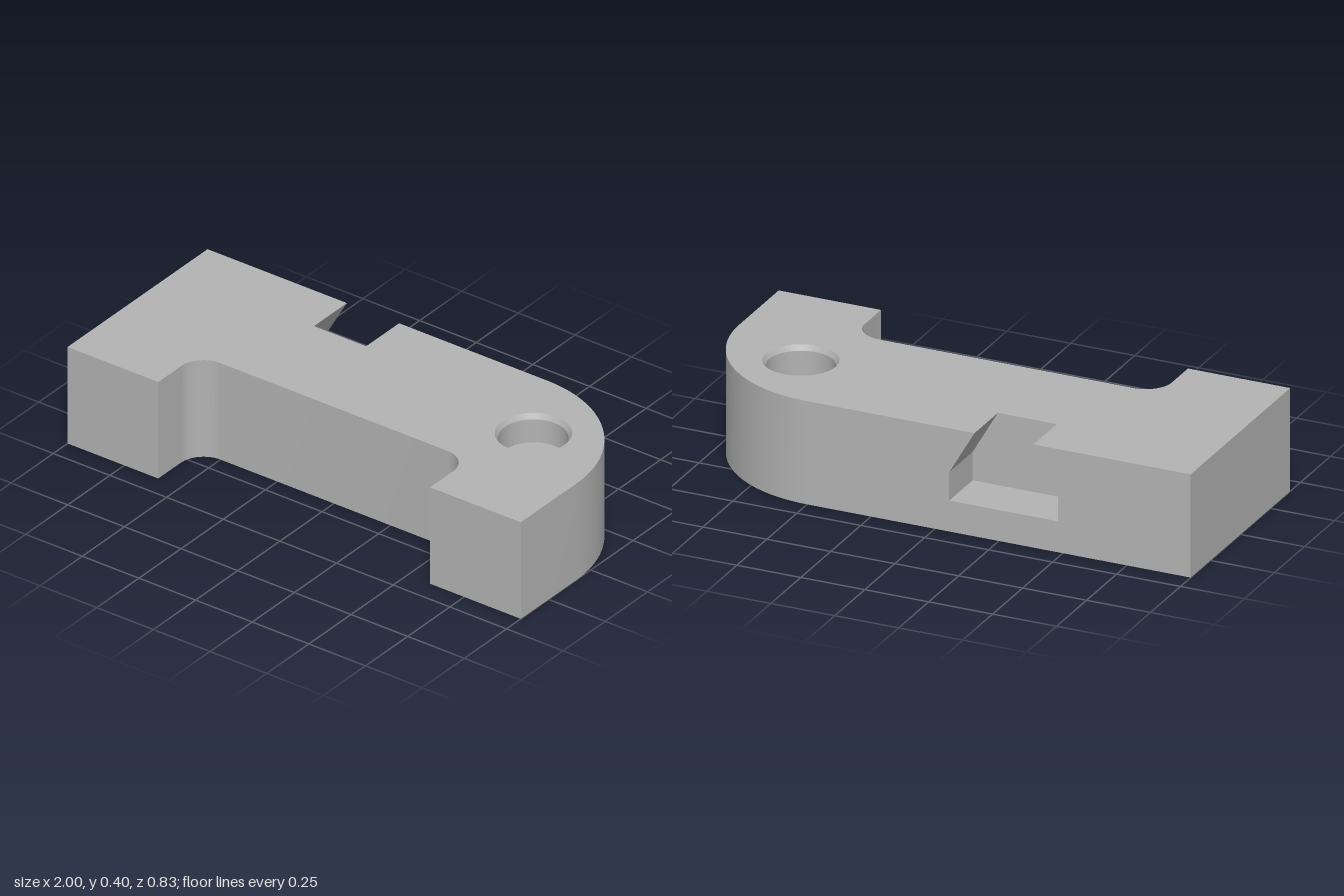
import * as THREE from 'three';
import { mergeGeometries, toCreasedNormals } from 'three/addons/utils/BufferGeometryUtils.js';

const H = 0.4, BACK = -0.415, SLOT_Z = -0.22;
const HOLE = { x: 0.672, z: -0.1, rim: 0.137, bore: 0.125, floor: 0.285 };
const v2 = (x, y) => new THREE.Vector2(x, y);

// Quads between two matching rows of points, facing outward when the rows run left to right
function strip(lower, upper) {
  const pos = [];
  for (let i = 0; i < lower.length - 1; i++) {
    for (const p of [lower[i], lower[i + 1], upper[i + 1], lower[i], upper[i + 1], upper[i]]) pos.push(...p);
  }
  const g = new THREE.BufferGeometry();
  g.setAttribute('position', new THREE.Float32BufferAttribute(pos, 3));
  return g;
}

// Merge pieces into one surface, smooth on the curves and sharp on the edges
function join(parts) {
  const plain = parts.map((g) => {
    const n = g.index ? g.toNonIndexed() : g;
    n.deleteAttribute('uv');
    n.deleteAttribute('normal');
    return n;
  });
  return toCreasedNormals(mergeGeometries(plain), 0.4);
}

// Plan outline without the straight back edge, in (x, -z)
function planPoints() {
  const s = new THREE.Path();
  s.moveTo(-1, -BACK);
  s.lineTo(-1, BACK);
  s.lineTo(-0.6, BACK);
  s.lineTo(-0.6, -0.28);
  s.absarc(-0.5, -0.28, 0.1, Math.PI, Math.PI / 2, true);
  s.lineTo(0.5, -0.18);
  s.absarc(0.5, -0.28, 0.1, Math.PI / 2, 0, true);
  s.lineTo(0.6, BACK);
  s.lineTo(1, BACK);
  s.lineTo(1, -0.085);
  s.absarc(0.5, -0.085, 0.5, 0, Math.PI / 2, false);
  return s.getPoints(20);
}

// Dovetail section seen from the back, in (-x, y)
const slotProfile = [
  v2(0.155, H), v2(0.056, 0.23), v2(0.056, 0.12),
  v2(0.482, 0.12), v2(0.482, 0.23), v2(0.385, H),
];

export function createModel() {
  const group = new THREE.Group();
  const grey = new THREE.MeshStandardMaterial({ color: 0xb3b3b3 });
  grey.name = 'grey';
  const add = (name, geometry) => {
    const mesh = new THREE.Mesh(geometry, grey);
    mesh.name = name;
    group.add(mesh);
  };

  const plan = planPoints();

  // Top face with slot opening and hole
  const topShape = new THREE.Shape([
    ...plan, v2(-0.155, -BACK), v2(-0.155, -SLOT_Z), v2(-0.385, -SLOT_Z), v2(-0.385, -BACK),
  ]);
  topShape.holes.push(new THREE.Path().absarc(HOLE.x, -HOLE.z, HOLE.rim, 0, Math.PI * 2, true));
  const top = new THREE.ShapeGeometry(topShape, 24).rotateX(-Math.PI / 2).translate(0, H, 0);

  // Bottom face
  const bottom = new THREE.ShapeGeometry(new THREE.Shape(plan.map((p) => v2(p.x, -p.y))))
    .rotateX(Math.PI / 2);

  // Side walls
  const walls = strip(plan.map((p) => [p.x, 0, -p.y]), plan.map((p) => [p.x, H, -p.y]));

  // Back face cut by the dovetail
  const back = new THREE.ShapeGeometry(new THREE.Shape([
    v2(-0.5, 0), v2(1, 0), v2(1, H), ...[...slotProfile].reverse(), v2(-0.5, H),
  ])).rotateY(Math.PI).translate(0, 0, BACK);
  add('body', join([top, bottom, walls, back]));

  // Dovetail slot: sides, floor and end wall
  const slotEnd = new THREE.ShapeGeometry(new THREE.Shape(slotProfile))
    .rotateY(Math.PI).translate(0, 0, SLOT_Z);
  const slotSides = strip(
    slotProfile.map((p) => [-p.x, p.y, BACK]),
    slotProfile.map((p) => [-p.x, p.y, SLOT_Z]),
  );
  add('dovetailSlot', join([slotSides, slotEnd]));

  // Blind hole with chamfered rim
  const hole = new THREE.LatheGeometry([
    v2(HOLE.rim, H), v2(HOLE.bore, H - 0.02), v2(HOLE.bore, HOLE.floor), v2(0, HOLE.floor),
  ], 48).translate(HOLE.x, 0, HOLE.z);
  add('blindHole', join([hole]));

  return group;
}
